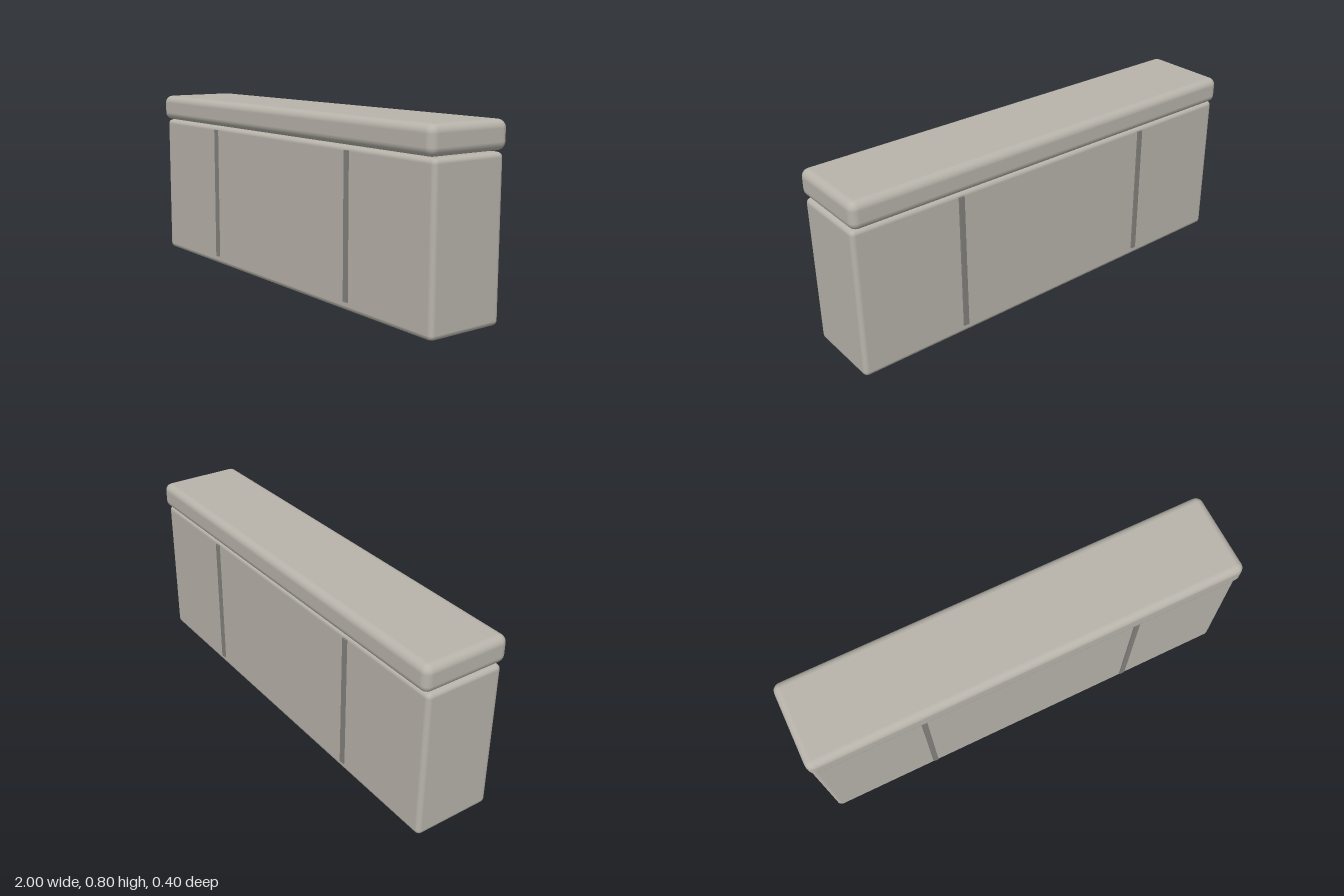
import * as THREE from 'three';
import { RoundedBoxGeometry } from 'three/addons/geometries/RoundedBoxGeometry.js';

export function createModel() {
  const group = new THREE.Group();
  const stone = new THREE.MeshStandardMaterial({ color: 0xb8b4ab });
  stone.name = 'paleStone';
  const joint = new THREE.MeshStandardMaterial({ color: 0x84827e });
  joint.name = 'darkJoint';

  function add(name, geometry, material, x, y, z) {
    const mesh = new THREE.Mesh(geometry, material);
    mesh.name = name;
    mesh.position.set(x, y, z);
    group.add(mesh);
  }

  // Wall block with softly rounded edges
  add('wallBody', new RoundedBoxGeometry(1.995, 0.677, 0.36, 2, 0.022), stone, 0, 0.3385, 0);

  // Overhanging coping slab
  add('copingSlab', new RoundedBoxGeometry(2, 0.12, 0.4, 3, 0.035), stone, 0, 0.74, 0);

  // Vertical joint strips on both long faces
  const strip = new THREE.BoxGeometry(0.025, 0.62, 0.012);
  for (const [side, z] of [['front', 0.181], ['back', -0.181]]) {
    add(side + 'LeftJoint', strip, joint, 0.5, 0.35, z);
    add(side + 'RightJoint', strip, joint, -0.5, 0.35, z);
  }
  return group;
}
